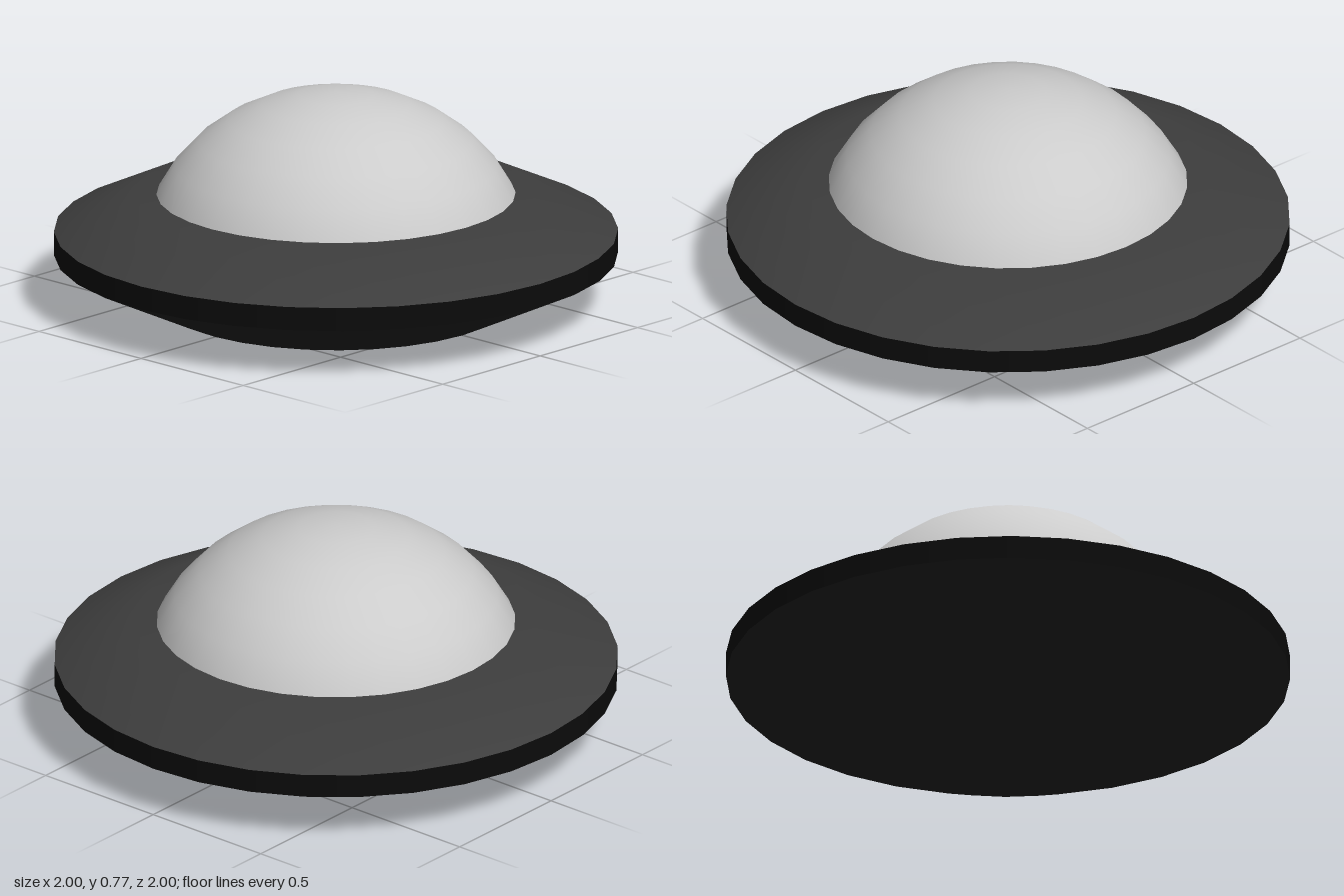
import * as THREE from 'three';

const SIDES = 32;

// Revolves a bottom-to-top [radius, height] profile into a named part.
function turned(name, color, profile) {
  const points = profile.map(([r, y]) => new THREE.Vector2(r, y));
  const mesh = new THREE.Mesh(
    new THREE.LatheGeometry(points, SIDES),
    new THREE.MeshStandardMaterial({ color })
  );
  mesh.name = name;
  return mesh;
}

export function createModel() {
  const saucer = new THREE.Group();
  saucer.name = 'saucer';

  // Hull: flat base flaring out, vertical rim band, sloping deck
  saucer.add(
    turned('lowerHull', 0x222222, [[0, 0], [0.62, 0], [1, 0.18]]),
    turned('rimBand', 0x0b0b0b, [[1, 0.18], [1, 0.265]]),
    turned('upperHull', 0x3d3d3d, [[1, 0.265], [0.71, 0.4], [0, 0.4]])
  );

  // Dome: upper half of a slightly flattened ball sunk into the deck
  const dome = new THREE.Mesh(
    new THREE.SphereGeometry(1, SIDES, 8, 0, Math.PI * 2, 0, Math.PI / 2),
    new THREE.MeshStandardMaterial({ color: 0xcccccc })
  );
  dome.name = 'dome';
  dome.scale.set(0.69, 0.61, 0.69);
  dome.position.y = 0.165;
  saucer.add(dome);

  return saucer;
}
